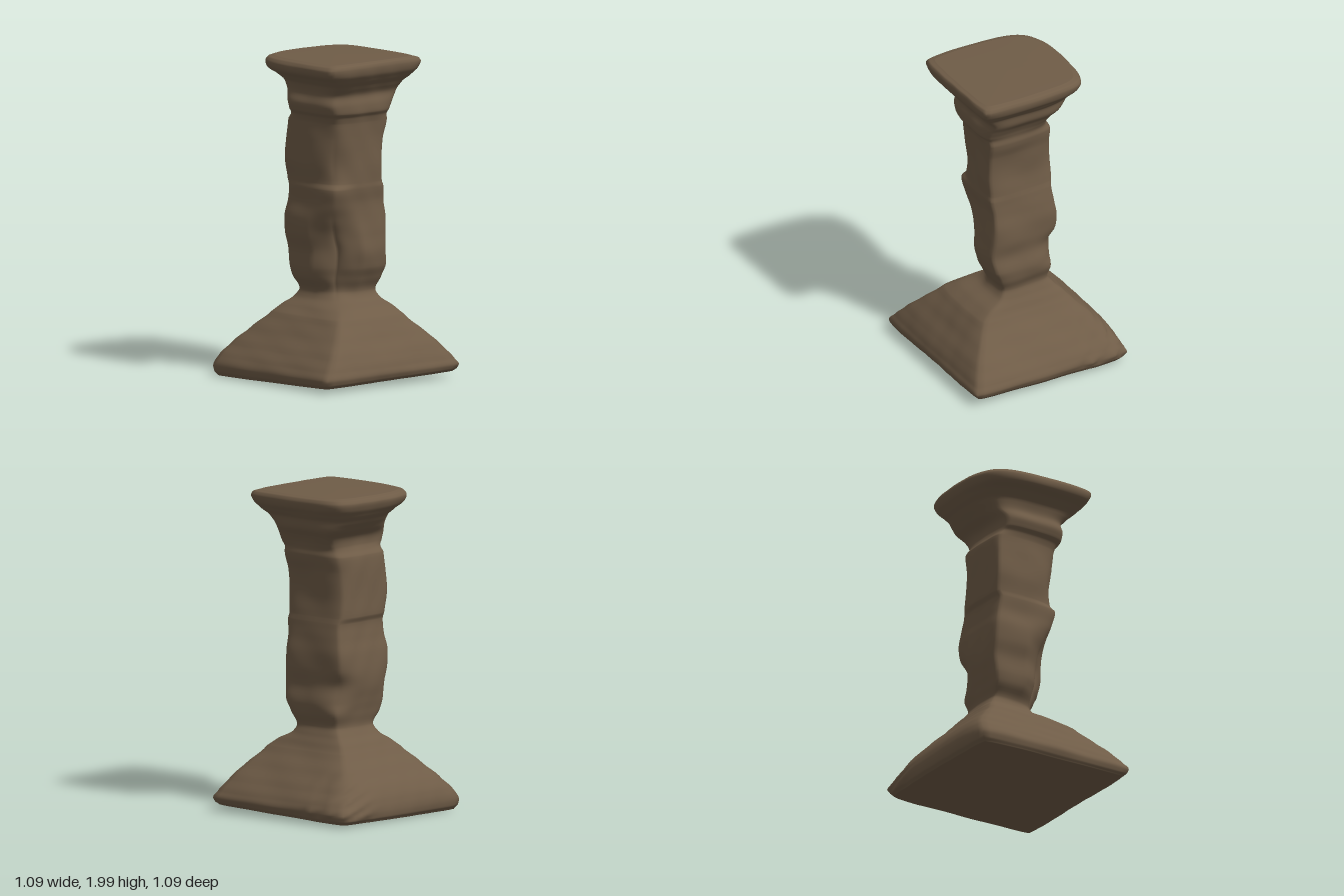
import * as THREE from 'three';

const SIDE = 20; // segments along each side of the square section
const STEPS = 5; // rows between two listed sections

// Sections: y, xMin, xMax, zMin, zMax, then wear of the corners
// front right (-x+z), front left (+x+z), back left (+x-z), back right (-x-z)
const BASE = [
  [0.015, -0.52, 0.52, -0.52, 0.515, 0.02, 0.015, 0.04, 0.03],
  [0.04, -0.535, 0.535, -0.54, 0.535, 0.015, 0.01, 0.03, 0.03],
  [0.08, -0.54, 0.545, -0.545, 0.545, 0.015, 0.01, 0.03, 0.03],
  [0.13, -0.51, 0.525, -0.535, 0.53, 0.02, 0.02, 0.06, 0.04],
  [0.2, -0.45, 0.47, -0.5, 0.495, 0.03, 0.03, 0.09, 0.05],
  [0.3, -0.36, 0.38, -0.41, 0.425, 0.04, 0.03, 0.08, 0.05],
  [0.4, -0.275, 0.29, -0.31, 0.35, 0.07, 0.04, 0.06, 0.05],
  [0.45, -0.215, 0.255, -0.265, 0.285, 0.12, 0.05, 0.06, 0.05],
  [0.5, -0.155, 0.225, -0.215, 0.19, 0.24, 0.07, 0.08, 0.07],
];
const SHAFT = [
  [0.55, -0.14, 0.208, -0.185, 0.165, 0.34, 0.08, 0.12, 0.08],
  [0.63, -0.185, 0.235, -0.2, 0.2, 0.44, 0.08, 0.12, 0.06],
  [0.7, -0.2, 0.245, -0.215, 0.235, 0.48, 0.08, 0.22, 0.06],
  [0.8, -0.2, 0.225, -0.23, 0.255, 0.5, 0.08, 0.24, 0.06],
  [0.9, -0.225, 0.235, -0.235, 0.245, 0.44, 0.08, 0.12, 0.06],
  [1.0, -0.23, 0.235, -0.23, 0.235, 0.3, 0.06, 0.08, 0.06],
  [1.1, -0.215, 0.22, -0.21, 0.235, 0.15, 0.06, 0.06, 0.05],
  [1.19, -0.22, 0.207, -0.198, 0.248, 0.13, 0.06, 0.06, 0.05],
  [1.23, -0.215, 0.2, -0.215, 0.247, 0.22, 0.08, 0.1, 0.05],
  [1.35, -0.23, 0.19, -0.218, 0.25, 0.29, 0.06, 0.12, 0.05],
  [1.5, -0.225, 0.2, -0.215, 0.255, 0.24, 0.06, 0.14, 0.05],
  [1.6, -0.22, 0.225, -0.21, 0.26, 0.18, 0.06, 0.15, 0.07],
];
const CAPITAL = [
  [1.64, -0.23, 0.225, -0.185, 0.27, 0.17, 0.09, 0.15, 0.1],
  [1.67, -0.255, 0.235, -0.175, 0.29, 0.16, 0.1, 0.13, 0.1],
  [1.72, -0.27, 0.26, -0.185, 0.29, 0.15, 0.1, 0.12, 0.12],
  [1.78, -0.25, 0.3, -0.24, 0.28, 0.12, 0.08, 0.13, 0.16],
  [1.84, -0.265, 0.31, -0.29, 0.32, 0.08, 0.06, 0.14, 0.2],
  [1.88, -0.31, 0.345, -0.33, 0.36, 0.07, 0.06, 0.15, 0.21],
  [1.92, -0.37, 0.38, -0.362, 0.39, 0.06, 0.06, 0.15, 0.21],
  [1.96, -0.38, 0.39, -0.374, 0.398, 0.05, 0.05, 0.15, 0.21],
  [1.985, -0.365, 0.38, -0.36, 0.39, 0.05, 0.05, 0.15, 0.21],
  [1.996, -0.33, 0.35, -0.33, 0.36, 0.05, 0.05, 0.15, 0.21],
];

// Unit square outline, counterclockwise from above, as [u, v, corner index]
function outline() {
  const pts = [];
  for (let side = 0; side < 4; side++) {
    for (let i = 0; i < SIDE; i++) {
      const t = -1 + (2 * i) / SIDE;
      const [u, v] = [[t, 1], [1, -t], [-t, -1], [-1, t]][side];
      pts.push([u, v, v >= 0 ? (u < 0 ? 0 : 1) : (u >= 0 ? 2 : 3)]);
    }
  }
  return pts;
}

// Smooth interpolation of every value between neighbouring sections
function refine(list) {
  const rows = [];
  const at = (i) => list[Math.max(0, Math.min(list.length - 1, i))];
  for (let i = 0; i < list.length - 1; i++) {
    for (let s = 0; s < STEPS; s++) {
      const t = s / STEPS;
      rows.push(list[i].map((b, k) => {
        const c = at(i + 1)[k];
        if (k === 0) return b + (c - b) * t;
        const m0 = (c - at(i - 1)[k]) * 0.4, m1 = (at(i + 2)[k] - b) * 0.4;
        const t2 = t * t, t3 = t2 * t;
        return (2 * t3 - 3 * t2 + 1) * b + (t3 - 2 * t2 + t) * m0
          + (3 * t2 - 2 * t3) * c + (t3 - t2) * m1;
      }));
    }
  }
  rows.push(list[list.length - 1]);
  return rows;
}

// Slightly uneven surface, with a crumbled corner low on the back left
function wear(x, y, z) {
  let n = 0.003 * Math.sin(9 * x + 7 * y + 2) * Math.sin(8 * z - 11 * y)
    + 0.003 * Math.sin(19 * y + 14 * x) * Math.sin(16 * z + 23 * x + 1);
  if (x > 0.25 && z < -0.15 && y < 0.35) {
    const fade = Math.min(1, (x - 0.25) * 8, (-0.15 - z) * 8, (0.35 - y) * 8, y * 12);
    n += 0.014 * fade * (Math.sin(45 * z + 20 * y) * Math.sin(55 * y + 30 * x) - 0.5);
  }
  return n;
}

// Vertices and normals of the whole column; the parts share them
function carve(rows, ring) {
  const n = ring.length, pos = [], index = [];
  rows.forEach(([y, x0, x1, z0, z1, ...chips], r) => {
    for (const [u, v, corner] of ring) {
      const k = chips[corner];
      // light wear rounds only the corner, heavy wear cuts a broad facet
      const power = Math.max(1, 0.5 / (k + 0.04));
      const s = 1 - k * Math.pow(Math.min(Math.abs(u), Math.abs(v)), power);
      const x = (x0 + x1) / 2 + (u * s * (x1 - x0)) / 2;
      const z = (z0 + z1) / 2 + (v * s * (z1 - z0)) / 2;
      const d = wear(x, y, z) / Math.hypot(u, v);
      // the underside is tilted up towards the front left
      const lift = (0.012 + 0.008 * u + 0.014 * v) * Math.max(0, 1 - y / 0.12);
      pos.push(x + u * d, Math.max(0, y + lift), z + v * d);
    }
    if (r === 0) return;
    for (let i = 0; i < n; i++) {
      const a = (r - 1) * n + i, b = (r - 1) * n + ((i + 1) % n);
      index.push(a, b, b + n, a, b + n, a + n);
    }
  });
  // closing faces below and above
  const bottom = pos.length / 3, top = bottom + 1, last = (rows.length - 1) * n;
  pos.push(0, 0.015, 0, 0, 2, 0);
  const under = [], over = [];
  for (let i = 0; i < n; i++) {
    const j = (i + 1) % n;
    under.push(bottom, j, i);
    over.push(top, last + i, last + j);
  }
  const geo = new THREE.BufferGeometry();
  geo.setAttribute('position', new THREE.Float32BufferAttribute(pos, 3));
  geo.setIndex([...under, ...index, ...over]);
  geo.computeVertexNormals();
  return geo;
}

export function createModel() {
  const stone = new THREE.MeshStandardMaterial({ color: 0x6f5c47 });
  stone.name = 'brown stone';
  const group = new THREE.Group();
  group.name = 'weatheredPillar';

  const ring = outline();
  const whole = carve(refine([...BASE, ...SHAFT, ...CAPITAL]), ring);
  const faces = Array.from(whole.index.array);
  const capFaces = ring.length * 3, perSection = ring.length * 6 * STEPS;
  const cut1 = capFaces + BASE.length * perSection;
  const cut2 = cut1 + SHAFT.length * perSection;

  const parts = [['base', 0, cut1], ['shaft', cut1, cut2], ['capital', cut2, faces.length]];
  for (const [name, from, to] of parts) {
    const geo = new THREE.BufferGeometry();
    geo.setAttribute('position', whole.getAttribute('position'));
    geo.setAttribute('normal', whole.getAttribute('normal'));
    geo.setIndex(faces.slice(from, to));
    const mesh = new THREE.Mesh(geo, stone);
    mesh.name = name;
    group.add(mesh);
  }
  return group;
}
